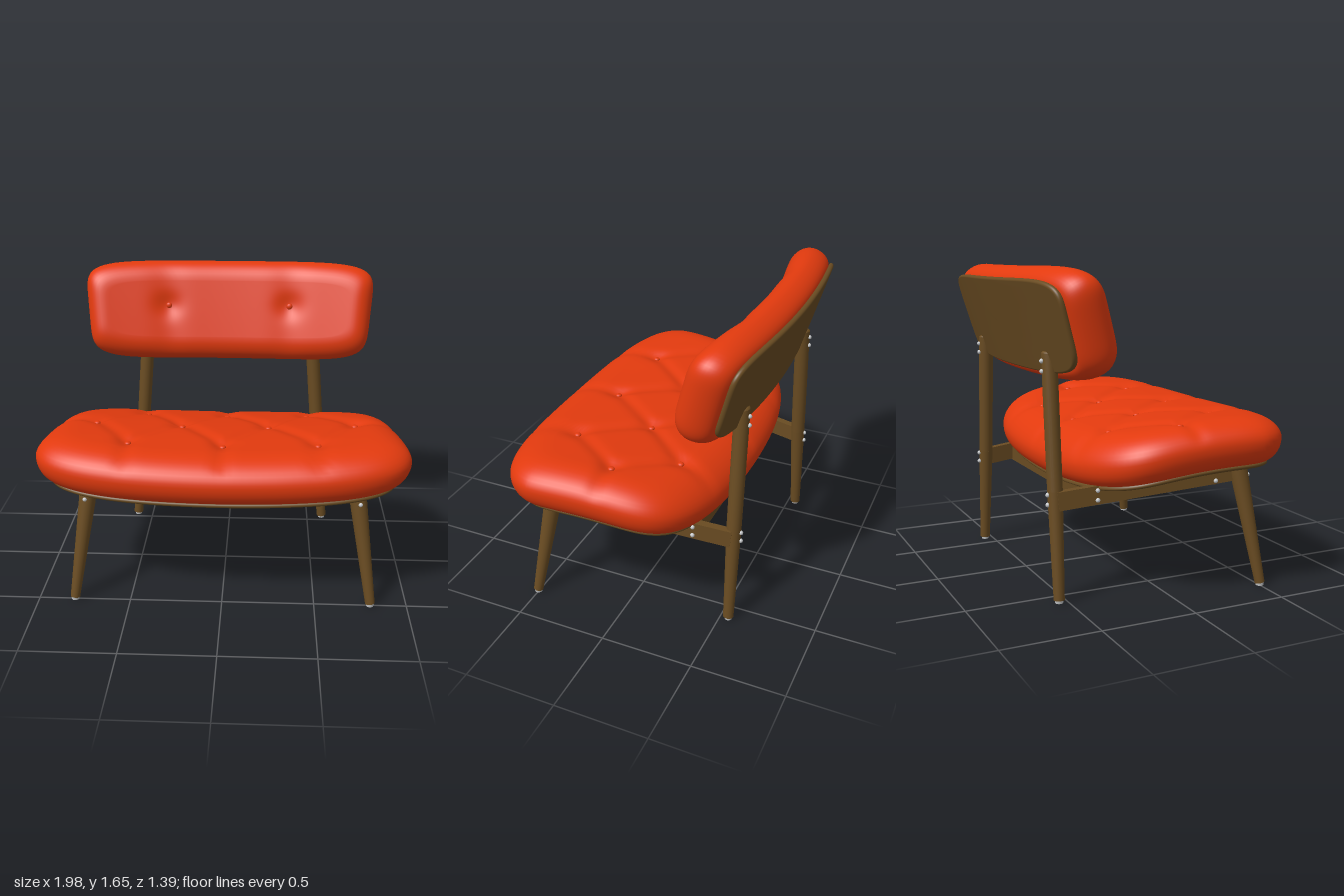
import * as THREE from 'three';

const material = (name, color) => new THREE.MeshStandardMaterial({ name, color });

// Distance from point (x, z) to the segment a-b
function segmentDistance(x, z, [ax, az], [bx, bz]) {
  const dx = bx - ax, dz = bz - az;
  const t = THREE.MathUtils.clamp(((x - ax) * dx + (z - az) * dz) / (dx * dx + dz * dz), 0, 1);
  return Math.hypot(x - ax - t * dx, z - az - t * dz);
}
const bump = (d, width) => Math.exp(-(d * d) / (width * width));

// Pillow: superellipse rings from the top centre, over a rounded rim, to the bottom centre
function pad({ hx, hz, n, rimTop, rimBottom, hTop, hBottom, rings = 40, segments = 180 }, deform) {
  const profile = [];
  for (let i = 0; i < rings; i++) profile.push([i / rings, rimTop, hTop]);
  for (let i = 0; i <= 10; i++) {
    const a = (i / 10) * Math.PI / 2;
    profile.push([1, rimTop * (1 - Math.sin(a)), hTop * Math.cos(a)]);
  }
  for (let i = 1; i <= 8; i++) {
    const a = (i / 8) * Math.PI / 2;
    profile.push([1, rimBottom * (1 - Math.cos(a)), -hBottom * Math.sin(a)]);
  }
  for (let i = 7; i >= 0; i--) profile.push([i / 8, rimBottom, -hBottom]);

  const positions = [], index = [];
  profile.forEach(([scale, inset, y], i) => {
    for (let j = 0; j < segments; j++) {
      const a = (j / segments) * Math.PI * 2, c = Math.cos(a), s = Math.sin(a);
      const r = scale / Math.pow(Math.abs(c) ** n + Math.abs(s) ** n, 1 / n);
      positions.push(...deform((hx - inset) * r * c, y, (hz - inset) * r * s));
      if (i === profile.length - 1) continue;
      const k = (j + 1) % segments;
      const p = i * segments + j, q = i * segments + k;
      index.push(p, q, p + segments, q, q + segments, p + segments);
    }
  });
  const geometry = new THREE.BufferGeometry();
  geometry.setAttribute('position', new THREE.Float32BufferAttribute(positions, 3));
  geometry.setIndex(index);
  geometry.computeVertexNormals();
  return geometry;
}

// Seat tufting: three staggered rows of buttons joined by diagonal creases
const rows = [
  [[-0.46, -0.21], [0, -0.21], [0.46, -0.21]],
  [[-0.715, 0.06], [-0.24, 0.06], [0.24, 0.06], [0.715, 0.06]],
  [[-0.5, 0.37], [0, 0.38], [0.5, 0.37]],
];
const seatButtons = rows.flat();
const creases = [];
for (let r = 0; r < 2; r++) {
  for (const a of rows[r]) for (const b of rows[r + 1]) if (Math.abs(a[0] - b[0]) < 0.3) creases.push([a, b]);
}
for (const [x, z] of rows[0]) creases.push([[x, z], [x * 1.1, -0.42]]);
for (const [x, z] of rows[2]) creases.push([[x, z], [x, 0.62]]);
for (const s of [-1, 1]) creases.push([[s * 0.715, 0.06], [s * 0.93, 0.05]]);

function seatTuft(x, z) {
  const dimple = Math.max(...seatButtons.map(([bx, bz]) => bump(Math.hypot(x - bx, z - bz), 0.06)));
  const crease = Math.max(...creases.map(([a, b]) => bump(segmentDistance(x, z, a, b), 0.04)));
  return 0.018 * dimple + 0.013 * crease;
}
// Dished across, dropping towards the back
const seatLevel = (x, z) => 0.765 + 0.04 * x * x - 0.16 * Math.max(0, 0.4 - z) ** 2;
const SEAT_TOP = 0.125;
function seatShape(x, y, z) {
  const Z = z + 0.115 - 0.08 * x * x * (z / 0.575);
  const X = x * (1 - 0.13 * Math.max(0, 0.4 - Z));
  const tuft = y > 0 ? seatTuft(X, Z) * y / SEAT_TOP : 0;
  return [X, seatLevel(X, Z) + y - tuft, Z];
}

// Backrest: tilted back and curved around the sitter
const TILT = 0.285, BACK_TOP = 0.1;
const backTuft = (x, v) => {
  const dx = Math.abs(x) - 0.35;
  return 0.022 * bump(Math.hypot(dx, v - 0.02), 0.07) + 0.01 * bump(dx, 0.09);
};
function backShape(x, y, z) {
  const v = -z + 0.015 * x * x;
  const w = y > 0 ? y * (1 + 0.4 * x * x) - backTuft(x, v) * y / BACK_TOP : y;
  return [
    x * (1 + 0.11 * v),
    1.375 + v * Math.cos(TILT) + w * Math.sin(TILT),
    -0.505 - v * Math.sin(TILT) + w * Math.cos(TILT) + 0.11 * x * x,
  ];
}

export function createModel() {
  const model = new THREE.Group();
  model.name = 'loungeChair';
  const fabric = material('red upholstery', 0xe23a0e);
  const wood = material('brown wood', 0x6a4c22);
  const metal = material('silver metal', 0xc4c6c8);

  const add = (name, geometry, mat, position) => {
    const mesh = new THREE.Mesh(geometry, mat);
    mesh.name = name;
    if (position) mesh.position.set(...position);
    model.add(mesh);
    return mesh;
  };

  // Tapered round bar between two points
  const bar = (name, from, to, r0, r1) => {
    const a = new THREE.Vector3(...from), b = new THREE.Vector3(...to), d = b.clone().sub(a);
    const mesh = add(name, new THREE.CylinderGeometry(r1, r0, d.length(), 24), wood);
    mesh.position.copy(a).add(b).multiplyScalar(0.5);
    mesh.quaternion.setFromUnitVectors(new THREE.Vector3(0, 1, 0), d.normalize());
  };
  // Rectangular rail between two points
  const rail = (name, from, to, thickness, height) => {
    const a = new THREE.Vector3(...from), b = new THREE.Vector3(...to);
    const mesh = add(name, new THREE.BoxGeometry(thickness, height, a.distanceTo(b)), wood);
    mesh.position.copy(a).add(b).multiplyScalar(0.5);
    mesh.lookAt(b);
  };
  const screwGeometry = new THREE.SphereGeometry(0.012, 10, 8);
  const screw = (...p) => add('screw', screwGeometry, metal, p);

  // Seat cushion, its wooden board and the plate underneath
  add('seatCushion', pad({ hx: 1, hz: 0.575, n: 5, rimTop: 0.2, rimBottom: 0.1, hTop: SEAT_TOP, hBottom: 0.12 }, seatShape), fabric);
  add('seatBoard', pad({ hx: 0.93, hz: 0.515, n: 5, rimTop: 0.01, rimBottom: 0.03, hTop: 0.012, hBottom: 0.015, rings: 8 },
    (x, y, z) => seatShape(x, y - 0.125, z)), wood);
  const plate = new THREE.BoxGeometry(0.64, 0.008, 0.36, 8, 1, 8);
  const pos = plate.attributes.position;
  for (let i = 0; i < pos.count; i++) {
    const x = pos.getX(i), z = pos.getZ(i) + 0.09;
    pos.setXYZ(i, x, seatLevel(x, z) - 0.141 + pos.getY(i), z);
  }
  plate.computeVertexNormals();
  add('undersidePlate', plate, metal);

  // Back cushion and its curved wooden panel
  add('backCushion', pad({ hx: 0.82, hz: 0.285, n: 6, rimTop: 0.12, rimBottom: 0.06, hTop: BACK_TOP, hBottom: 0.1 }, backShape), fabric);
  add('backPanel', pad({ hx: 0.765, hz: 0.24, n: 6, rimTop: 0.008, rimBottom: 0.012, hTop: 0.014, hBottom: 0.014, rings: 8 },
    (x, y, z) => backShape(x, y - 0.112, z - 0.02)), wood);

  // Upholstery buttons
  const buttonGeometry = new THREE.SphereGeometry(0.018, 16, 10);
  for (const [x, z] of seatButtons) {
    add('seatButton', buttonGeometry, fabric, [x, seatLevel(x, z) + SEAT_TOP - 0.027, z]).scale.y = 0.6;
  }
  for (const x of [-0.35, 0.35]) add('backButton', buttonGeometry, fabric, backShape(x, BACK_TOP, -0.02)).scale.z = 0.6;

  // Legs, feet, side rails and screws, mirrored
  const footGeometry = new THREE.CylinderGeometry(0.023, 0.02, 0.02, 20);
  for (const s of [-1, 1]) {
    bar('frontLeg', [s * 0.803, 0.015, 0.502], [s * 0.71, 0.65, 0.405], 0.026, 0.048);
    bar('rearLegLower', [s * 0.592, 0.015, -0.545], [s * 0.545, 0.56, -0.543], 0.028, 0.039);
    bar('rearLegUpper', [s * 0.545, 0.56, -0.543], [s * 0.49, 1.235, -0.545], 0.039, 0.04);
    add('rearLegTip', new THREE.SphereGeometry(0.04, 20, 12), wood, [s * 0.49, 1.235, -0.545]).scale.y = 0.4;
    add('frontFoot', footGeometry, metal, [s * 0.803, 0.01, 0.502]);
    add('rearFoot', footGeometry, metal, [s * 0.592, 0.01, -0.545]);
    rail('sideRail', [s * 0.57, 0.515, -0.54], [s * 0.705, 0.605, 0.41], 0.042, 0.095);

    screw(s * 0.724, 0.63, 0.455);
    screw(s * 0.728, 0.583, 0.459);
    for (const d of [-0.025, 0.025]) {
      screw(s * 0.708, 0.587 + d, 0.28);
      screw(s * 0.62, 0.534 + d, -0.345);
      screw(s * 0.548, 0.52 + d, -0.583);
      screw(s * 0.495, 1.175 + d, -0.586);
    }
  }

  // Cross rails between the side rails
  rail('frontCrossRail', [-0.68, 0.578, 0.28], [0.68, 0.578, 0.28], 0.045, 0.085);
  rail('rearCrossRail', [-0.59, 0.52, -0.345], [0.59, 0.52, -0.345], 0.045, 0.085);

  return model;
}
